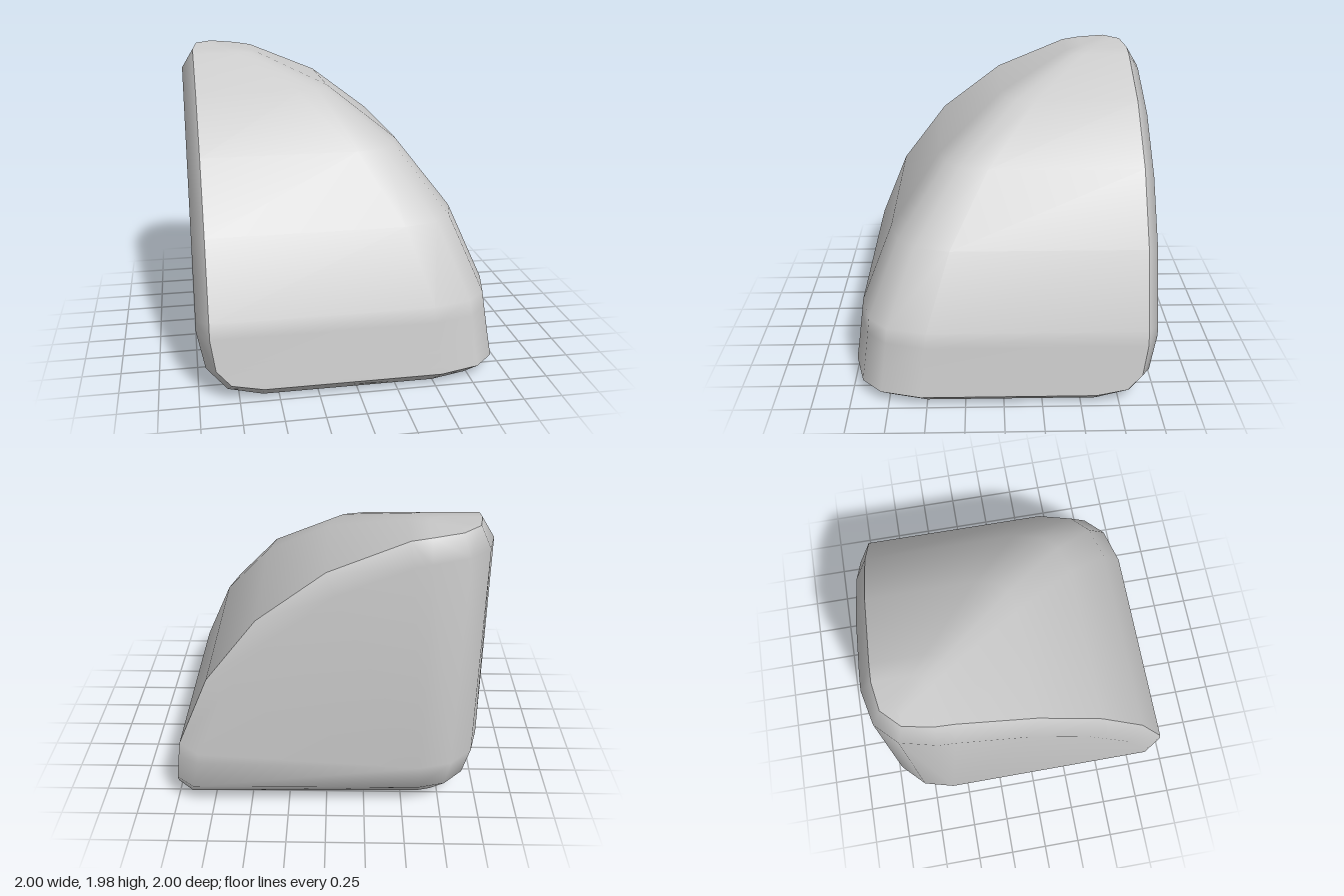
import * as THREE from 'three';
import { mergeVertices } from 'three/addons/utils/BufferGeometryUtils.js';

const V = (x, y, z) => new THREE.Vector3(x, y, z);
const swap = (p) => V(p.z, p.y, p.x); // mirror across the diagonal plane x = z
const centre = V(-0.25, 0.75, -0.25);

// Collects triangles of a convex skin, turning each one outwards
function skin() {
  const out = [];
  const tri = (a, b, c) => {
    const n = b.clone().sub(a).cross(c.clone().sub(a));
    if (n.length() < 1e-8) return;
    const mid = a.clone().add(b).add(c).divideScalar(3).sub(centre);
    const order = n.dot(mid) < 0 ? [a, c, b] : [a, b, c];
    for (const p of order) out.push(p.x, p.y, p.z);
  };
  const fan = (hub, pts) => pts.slice(1).forEach((p, i) => tri(hub, pts[i], p));
  const strip = (p, q) => {
    for (let i = 0; i + 1 < p.length; i++) {
      tri(p[i], p[i + 1], q[i + 1]);
      tri(p[i], q[i + 1], q[i]);
    }
  };
  const mesh = (name, material) => {
    let geo = new THREE.BufferGeometry();
    geo.setAttribute('position', new THREE.Float32BufferAttribute(out, 3));
    geo = mergeVertices(geo, 1e-4);
    geo.computeVertexNormals();
    const m = new THREE.Mesh(geo, material);
    m.name = name;
    return m;
  };
  return { fan, strip, mesh };
}

// Levels: height, front extent, left end of the curved face; then the same for the bevel's outer rim
const LEVELS = [
  [0.08, 1.0, -0.6, 0, 0.91, -0.6],
  [0.12, 0.995, -0.8, 0.05, 0.9, -0.82],
  [0.22, 0.98, -0.89, 0.19, 0.87, -0.95],
  [0.42, 0.953, -0.92, 0.42, 0.82, -1],
  [0.52, 0.94, -0.92, 0.49, 0.81, -1],
  [1.0, 0.74, -0.92, 0.94, 0.63, -1],
  [1.42, 0.42, -0.92, 1.33, 0.33, -1],
  [1.74, 0.0, -0.92, 1.63, -0.06, -1],
  [1.94, -0.48, -0.92, 1.81, -0.5, -1],
  [1.96, -0.6, -0.92, 1.83, -0.6, -1],
  [1.98, -0.78, -0.89, 1.85, -0.82, -0.95],
];

// Rounded front-right corner at one height
function corner(y, e, r) {
  const half = [V(e - r, y, e), V(e - 0.435 * r, y, e - 0.15 * r)];
  return [...half, swap(half[1]), swap(half[0])];
}

export function createModel() {
  const group = new THREE.Group();
  const material = new THREE.MeshStandardMaterial({ color: 0xcccccc });

  // Domed front and right faces, blended along the ridge
  const dome = skin();
  const rows = LEVELS.map(([y, e, l]) => {
    const start = V(l, y, e);
    return [start, ...corner(y, e, 0.23 * (e + 1)), swap(start)];
  });
  for (let i = 0; i + 1 < rows.length; i++) dome.strip(rows[i], rows[i + 1]);
  const top = rows[rows.length - 1];
  dome.fan(top[0], top.slice(1));
  group.add(dome.mesh('curvedFace', material));

  // Bevel around the domed face
  const base = skin();
  const inner = rows.map((r) => r[0]);
  const outer = LEVELS.map(([, , , y, e, l]) => V(l, y, e));
  const mirrored = outer.map(swap);
  const bottomCorner = corner(0, 0.91, 0.41);
  base.strip(inner, outer);
  base.strip(inner.map(swap), mirrored);
  base.strip([inner[10], swap(inner[10])], [outer[10], mirrored[10]]);
  base.strip(rows[0], [outer[0], ...bottomCorner, mirrored[0]]);

  // Rounded rear-left bottom corner
  const octant = (i, j) => {
    const a = (i * Math.PI) / 6, b = (j * Math.PI) / 6;
    return V(
      -0.6 - 0.4 * Math.cos(a) * Math.cos(b),
      0.4 - 0.4 * Math.sin(b),
      -0.6 - 0.4 * Math.sin(a) * Math.cos(b)
    );
  };
  const steps = [0, 1, 2, 3];
  const meridians = steps.map((i) => steps.map((j) => octant(i, j)));
  for (let i = 0; i < 3; i++) base.strip(meridians[i], meridians[i + 1]);

  // Rounded edges running from that corner to the bevel
  base.strip(meridians[0], [3, 2, 1, 0].map((i) => outer[i]));
  base.strip(meridians[3], [3, 2, 1, 0].map((i) => mirrored[i]));
  base.strip(meridians.map((m) => m[0]), [outer[9], outer[10], mirrored[10], mirrored[9]]);

  // Flat left, back and bottom faces
  base.fan(meridians[0][0], outer.slice(3, 10));
  base.fan(meridians[3][0], mirrored.slice(3, 10));
  base.fan(octant(0, 3), [outer[0], ...bottomCorner, mirrored[0]]);
  group.add(base.mesh('baseShell', material));

  return group;
}
